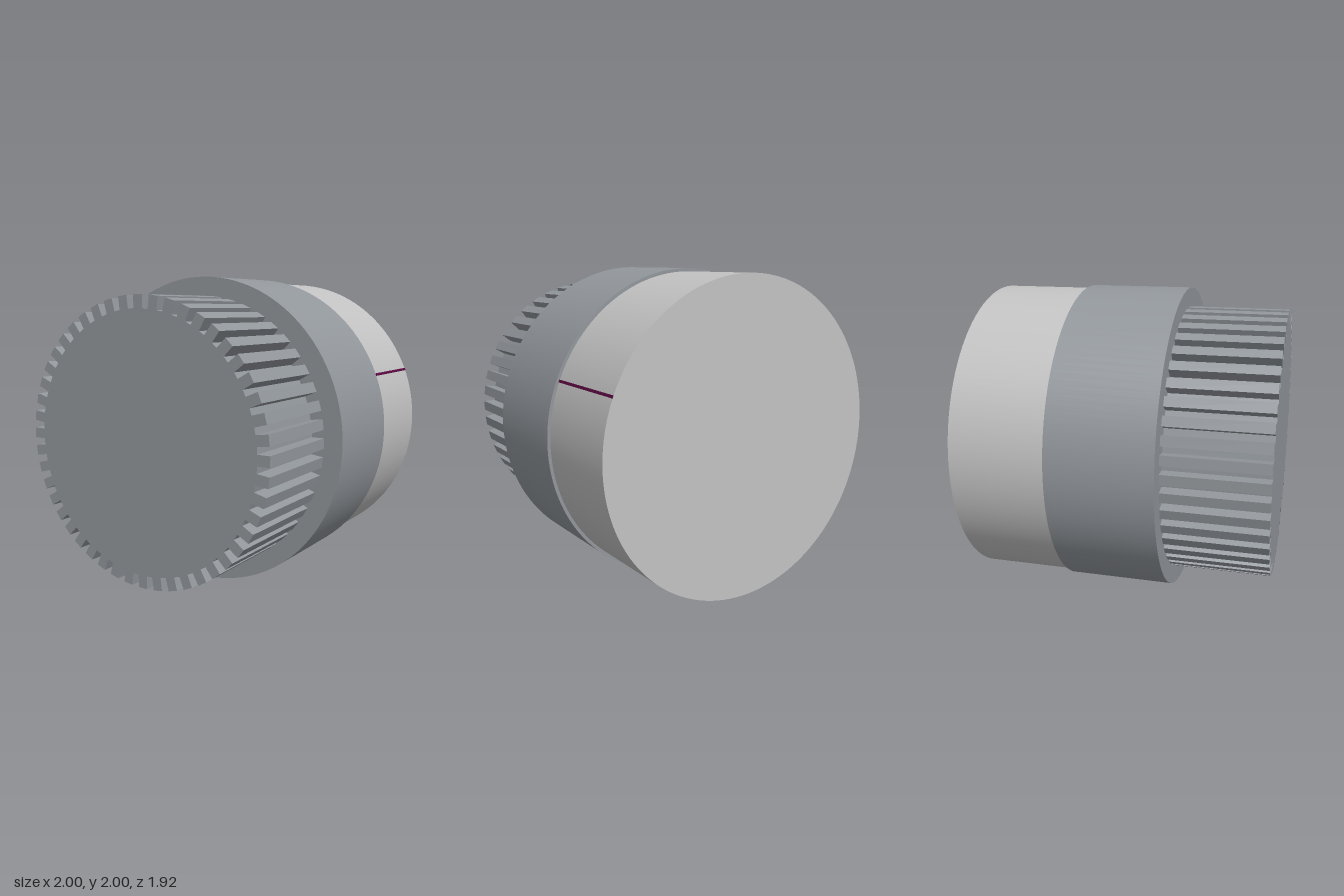
import * as THREE from 'three';

const TEETH = 48, ROOT = 0.8, TIP = 0.88, HALF_TOOTH = 0.032;
const CAP_RADIUS = 0.98;

const material = (name, color) => new THREE.MeshStandardMaterial({ name, color });

// Cylinder lying along z between two depths
function drum(name, radius, zBack, zFront, mat) {
  const geometry = new THREE.CylinderGeometry(radius, radius, zFront - zBack, 128);
  geometry.rotateX(Math.PI / 2).translate(0, 0, (zBack + zFront) / 2);
  const mesh = new THREE.Mesh(geometry, mat);
  mesh.name = name;
  return mesh;
}

// Outline of the toothed wheel: straight-sided teeth around a root circle
function gearShape() {
  const points = [];
  const rootAngle = Math.asin(HALF_TOOTH / ROOT);
  const tipAngle = Math.asin(HALF_TOOTH / TIP);
  const add = (r, a) => points.push(new THREE.Vector2(r * Math.cos(a), r * Math.sin(a)));
  for (let i = 0; i < TEETH; i++) {
    const a = (i / TEETH) * Math.PI * 2;
    add(ROOT, a - rootAngle);
    add(TIP, a - tipAngle);
    add(TIP, a + tipAngle);
    add(ROOT, a + rootAngle);
  }
  return new THREE.Shape(points);
}

export function createModel() {
  const steel = material('blue grey steel', 0x92979c);
  const silver = material('light silver', 0xc2c2c2);
  const plum = material('dark plum', 0x5a0a40);

  const model = new THREE.Group();
  model.name = 'splinedKnob';

  // Everything is built around the z axis, then lifted onto the ground
  const body = new THREE.Group();
  body.name = 'body';
  body.position.y = 1;
  model.add(body);

  // Toothed front section
  const gear = new THREE.Mesh(
    new THREE.ExtrudeGeometry(gearShape(), { depth: 0.65, bevelEnabled: false }), steel);
  gear.name = 'splinedGear';
  gear.position.z = 0.31;
  body.add(gear);

  // Wide middle collar and the slightly narrower rear cap
  body.add(drum('collar', 1, -0.35, 0.315, steel));
  body.add(drum('rearCap', CAP_RADIUS, -0.96, -0.34, silver));

  // Thin index line along the cap's left side
  const angle = Math.asin(0.362 / CAP_RADIUS);
  const line = new THREE.Mesh(new THREE.BoxGeometry(0.006, 0.017, 0.61), plum);
  line.name = 'indexLine';
  line.position.set(CAP_RADIUS * Math.cos(angle), CAP_RADIUS * Math.sin(angle), -0.655);
  line.rotation.z = angle;
  body.add(line);

  return model;
}
